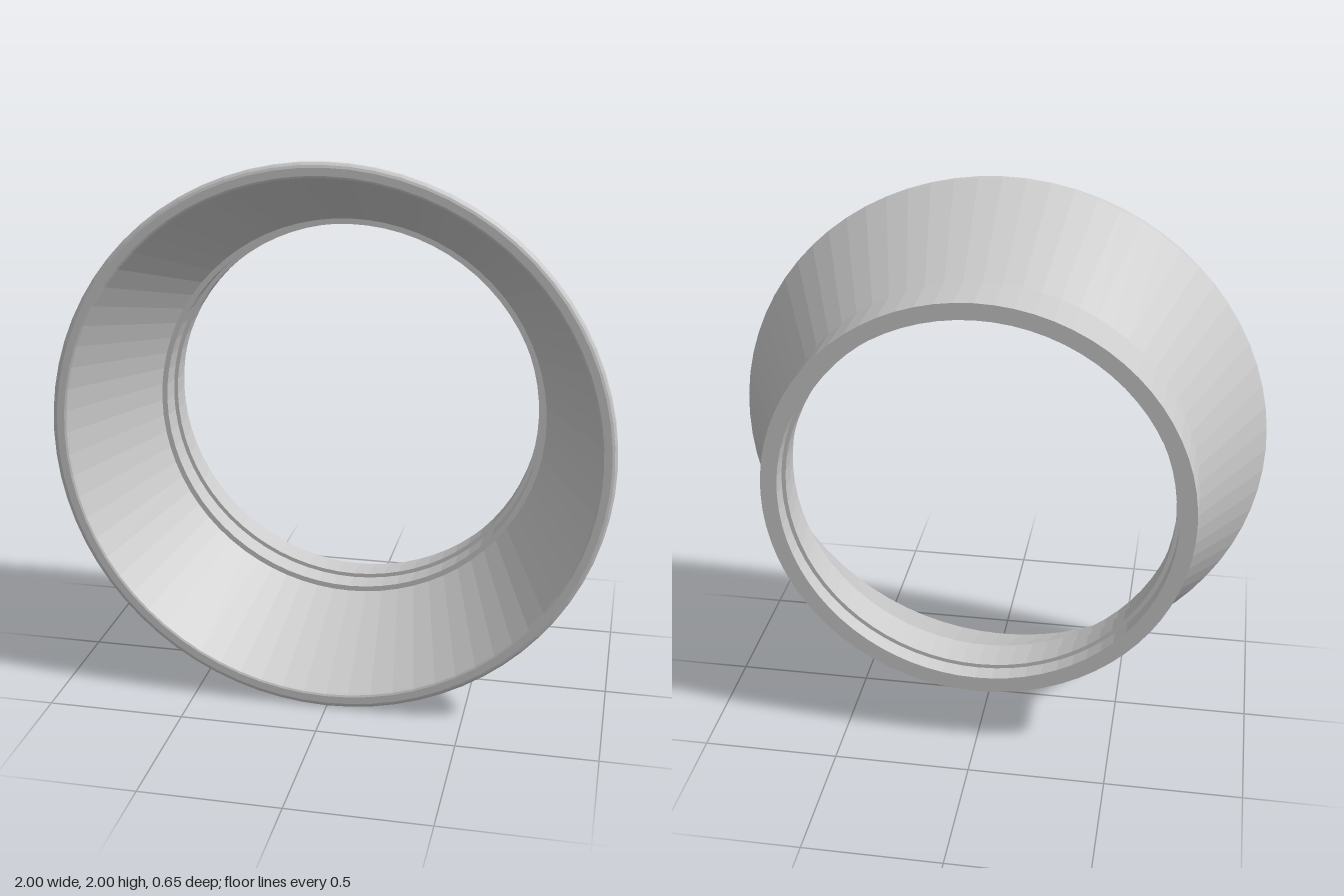
import * as THREE from 'three';

const SEGMENTS = 72;

// Closed [radius, z] section: up the outside, round the lip, back down the bore
const outside = [[0.71, -0.325], [0.77, -0.325], [0.77, -0.13], [0.996, 0.295]];
const lip = [[1.0, 0.306], [0.998, 0.315], [0.991, 0.322], [0.982, 0.325], [0.955, 0.325], [0.948, 0.322], [0.943, 0.314]];
const bore = [
  [0.73, -0.11], [0.71, -0.11],   // ledge at the foot of the flare
  [0.71, -0.195], [0.695, -0.195], // raised inner rib
  [0.695, -0.26], [0.71, -0.26],
  [0.71, -0.325],
];

export function createModel() {
  const group = new THREE.Group();
  group.name = 'flaredRing';

  const profile = [...outside, ...lip, ...bore].map(([r, z]) => new THREE.Vector2(r, z));
  const geometry = new THREE.LatheGeometry(profile, SEGMENTS);
  geometry.rotateX(Math.PI / 2); // axis to the front, wide end at +z

  const material = new THREE.MeshStandardMaterial({ color: 0xcccccc, flatShading: true });
  const collar = new THREE.Mesh(geometry, material);
  collar.name = 'flaredCollar';
  collar.position.y = 1;
  group.add(collar);

  return group;
}
